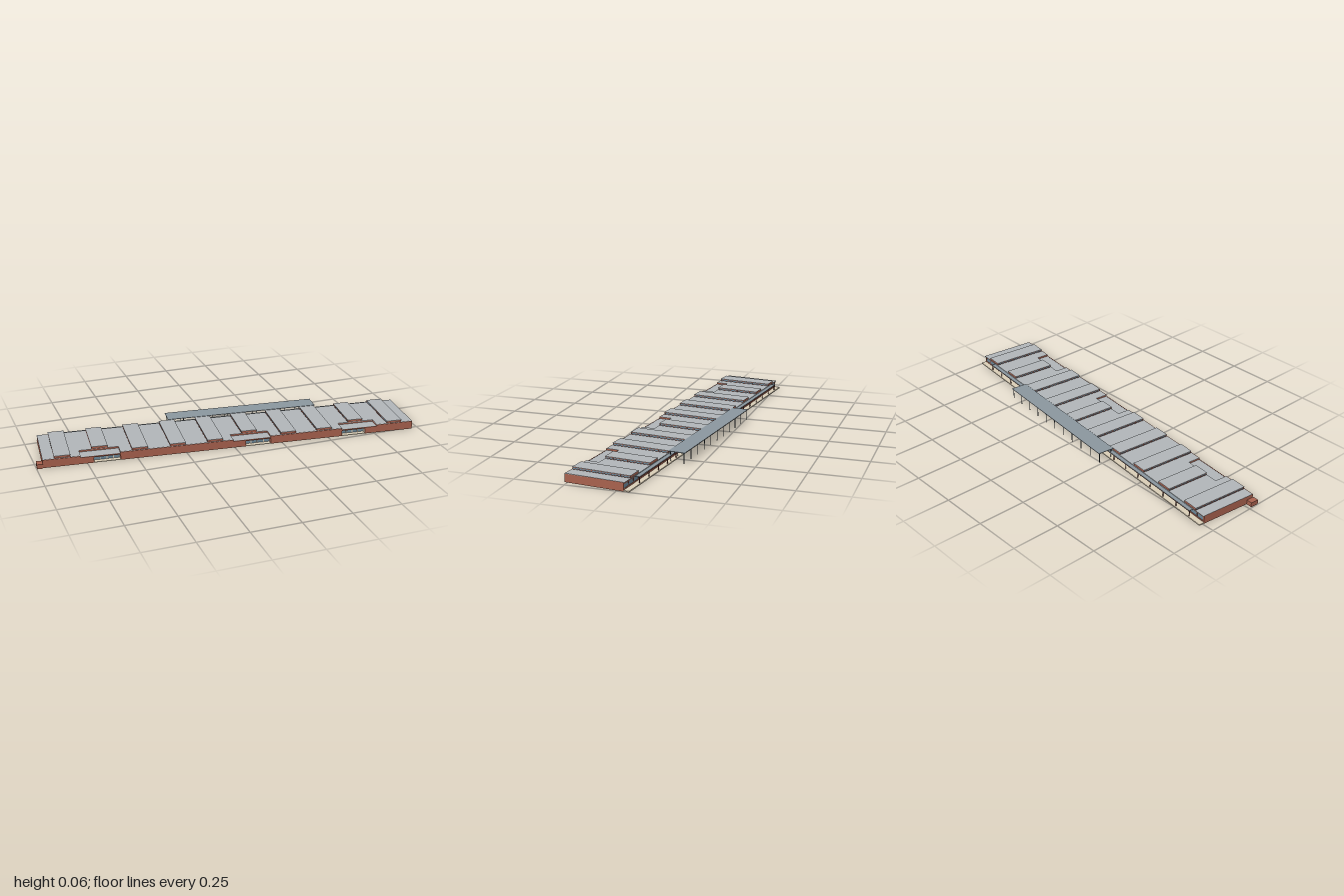
import * as THREE from 'three';

const mat = (color) => new THREE.MeshStandardMaterial({ color });

export function createModel() {
  const model = new THREE.Group();
  const building = new THREE.Group();
  building.name = 'building';
  building.rotation.y = -0.108;
  model.add(building);

  const brick = mat(0xa8614e), roofGrey = mat(0xb0b5b8), canopyGrey = mat(0x8a969e);
  const glass = mat(0x6c8798), steel = mat(0x3a444a), beige = mat(0xd9cdb6), timber = mat(0x6e3a30);

  // Box given by its minimum and maximum corners
  const box = (name, material, x0, x1, y0, y1, z0, z1, parent = building) => {
    const mesh = new THREE.Mesh(new THREE.BoxGeometry(x1 - x0, y1 - y0, z1 - z0), material);
    mesh.position.set((x0 + x1) / 2, (y0 + y1) / 2, (z0 + z1) / 2);
    mesh.name = name;
    parent.add(mesh);
    return mesh;
  };

  const L = -0.957, R = 0.987, F = 0.158, B = -0.14, H = 0.042, T = 0.008;
  const notchZ = 0.09, lowRoof = 0.034;

  // Entrances: left edge, right edge, and the side holding the solid brick part
  const entrances = [[-0.77, -0.571, -1], [0.009, 0.208, -1], [0.595, 0.789, 1]];

  // End walls and front wall pieces between the entrances; the shell is open below
  box('endWallRight', brick, L, L + T, 0, H, B, F);
  box('endWallLeft', brick, R - T, R, 0, H, B, F);
  let start = L;
  for (const [a, b] of [...entrances, [R, R]]) {
    box('frontWall', brick, start, a, 0, H, F - T, F);
    start = b;
  }

  // Entrance porches
  for (const [a, b, side] of entrances) {
    const porch = new THREE.Group();
    porch.name = 'entrancePorch';
    building.add(porch);
    box('porchBackWall', brick, a - T, b + T, 0, H, notchZ - T, notchZ, porch);
    box('porchSideWall', brick, a - T, a, 0, H, notchZ, F - T, porch);
    box('porchSideWall', brick, b, b + T, 0, H, notchZ, F - T, porch);
    box('porchRoof', roofGrey, a, b, lowRoof - 0.003, lowRoof, notchZ, F - 0.003, porch);
    box('porchFascia', brick, a, b, 0.029, lowRoof + 0.001, F - 0.003, F, porch);
    const d0 = side < 0 ? a + 0.066 : a, d1 = side < 0 ? b : b - 0.066;
    box('porchBrickPanel', brick, side < 0 ? a : d1, side < 0 ? d0 : b, 0, 0.03, F - T, F, porch);
    box('porchFloor', beige, d0, d1, 0, 0.003, F - 0.04, F, porch);
    // Glazed doors with pale frames
    const n = 4, w = (d1 - d0) / n;
    box('doorGlass', glass, d0, d1, 0.003, 0.03, F - 0.027, F - 0.025, porch);
    for (let i = 0; i <= n; i++) {
      const x = d0 + w * i;
      box('doorFrame', beige, x - 0.002, x + 0.002, 0.003, 0.03, F - 0.028, F - 0.022, porch);
    }
    box('doorRail', beige, d0, d1, 0.027, 0.03, F - 0.028, F - 0.022, porch);
  }

  // Flat roof slab cut around the entrances
  const outline = [[L, B - 0.006], [R, B - 0.006], [R, F - 0.003]];
  for (const [a, b] of [...entrances].reverse()) {
    outline.push([b, F - 0.003], [b, notchZ], [a, notchZ], [a, F - 0.003]);
  }
  outline.push([L, F - 0.003]);
  const roofShape = new THREE.Shape(outline.map(([x, z]) => new THREE.Vector2(x, -z)));
  const roofGeo = new THREE.ExtrudeGeometry(roofShape, { depth: 0.003, bevelEnabled: false });
  roofGeo.rotateX(-Math.PI / 2);
  const roof = new THREE.Mesh(roofGeo, roofGrey);
  roof.name = 'flatRoof';
  roof.position.y = 0.04;
  building.add(roof);

  // Raised roof lights with glazed sides
  for (let i = 0; i < 10; i++) {
    const c = -0.86 + i * 0.194, hw = 0.04;
    const light = new THREE.Group();
    light.name = 'roofLight';
    building.add(light);
    // Bays meeting an entrance stop at the back of its porch
    const cut = entrances.some(([a, b]) => c + hw > a && c - hw < b);
    const z0 = B - 0.004, z1 = cut ? notchZ - 0.002 : F - 0.006;
    box('roofLightGlass', glass, c - hw + 0.002, c + hw - 0.002, 0.043, 0.052, z0 + 0.002, z1 - 0.002, light);
    box('roofLightCurb', timber, c - hw, c + hw, 0.043, 0.0445, z0, z1, light);
    box('roofLightFrame', brick, c - hw, c + hw, 0.051, 0.0535, z0, z1, light);
    box('roofLightTop', roofGrey, c - hw - 0.001, c + hw + 0.001, 0.0535, 0.055, z0 - 0.001, z1 + 0.001, light);
    for (let j = 0; j <= 6; j++) {
      const z = z0 + 0.0015 + (z1 - z0 - 0.003) * j / 6;
      box('roofLightMullion', brick, c - hw, c + hw, 0.043, 0.052, z - 0.0015, z + 0.0015, light);
    }
  }

  // Back wall: brick sill and head with a long row of windows
  box('backWallSill', brick, L, R, 0, 0.012, B, B + T);
  box('backWallHead', brick, L, R, 0.032, H, B, B + T);
  box('backWindows', glass, L + T, R - T, 0.012, 0.032, B + 0.002, B + 0.005);
  const bays = 40;
  for (let i = 0; i <= bays; i++) {
    const x = L + 0.004 + (R - L - 0.008) * i / bays;
    const w = i % 4 ? 0.002 : 0.004;
    box('backMullion', i % 4 ? timber : brick, x - w, x + w, 0.012, 0.032, B, B + T);
  }

  // Back terrace and its low awning on posts
  box('terrace', beige, L, R, 0, 0.006, -0.168, B);
  box('awning', canopyGrey, -0.879, 0.876, 0.035, 0.0375, -0.164, B);
  box('awningBeam', timber, -0.879, 0.876, 0.031, 0.035, -0.163, -0.16);
  for (let i = 0; i <= 18; i++) {
    const x = -0.877 + 1.751 * i / 18;
    box('awningPost', timber, x - 0.0015, x + 0.0015, 0.006, 0.035, -0.163, -0.16);
  }

  // Tall canopy behind the building
  const c0 = -0.268, c1 = 0.545;
  const canopy = box('canopyRoof', canopyGrey, c0, c1, 0.0545, 0.057, -0.235, -0.147);
  canopy.rotation.x = 0.015;
  for (const z of [-0.228, -0.158]) {
    box('canopyBeam', steel, c0, c1, 0.0515, 0.0545, z - 0.0015, z + 0.0015);
  }
  for (let i = 0; i <= 10; i++) {
    const x = c0 + 0.006 + (c1 - c0 - 0.012) * i / 10;
    box('canopyRafter', steel, x - 0.001, x + 0.001, 0.052, 0.055, -0.233, -0.149);
    for (const z of [-0.228, -0.158]) {
      const post = new THREE.Mesh(new THREE.CylinderGeometry(0.0018, 0.0018, 0.053, 8), steel);
      post.name = 'canopyPost';
      post.position.set(x, 0.0265, z);
      building.add(post);
    }
  }

  // Small brick store at the right-hand front corner
  box('cornerStore', brick, -0.987, L, 0, 0.024, 0.122, 0.164);

  return model;
}
